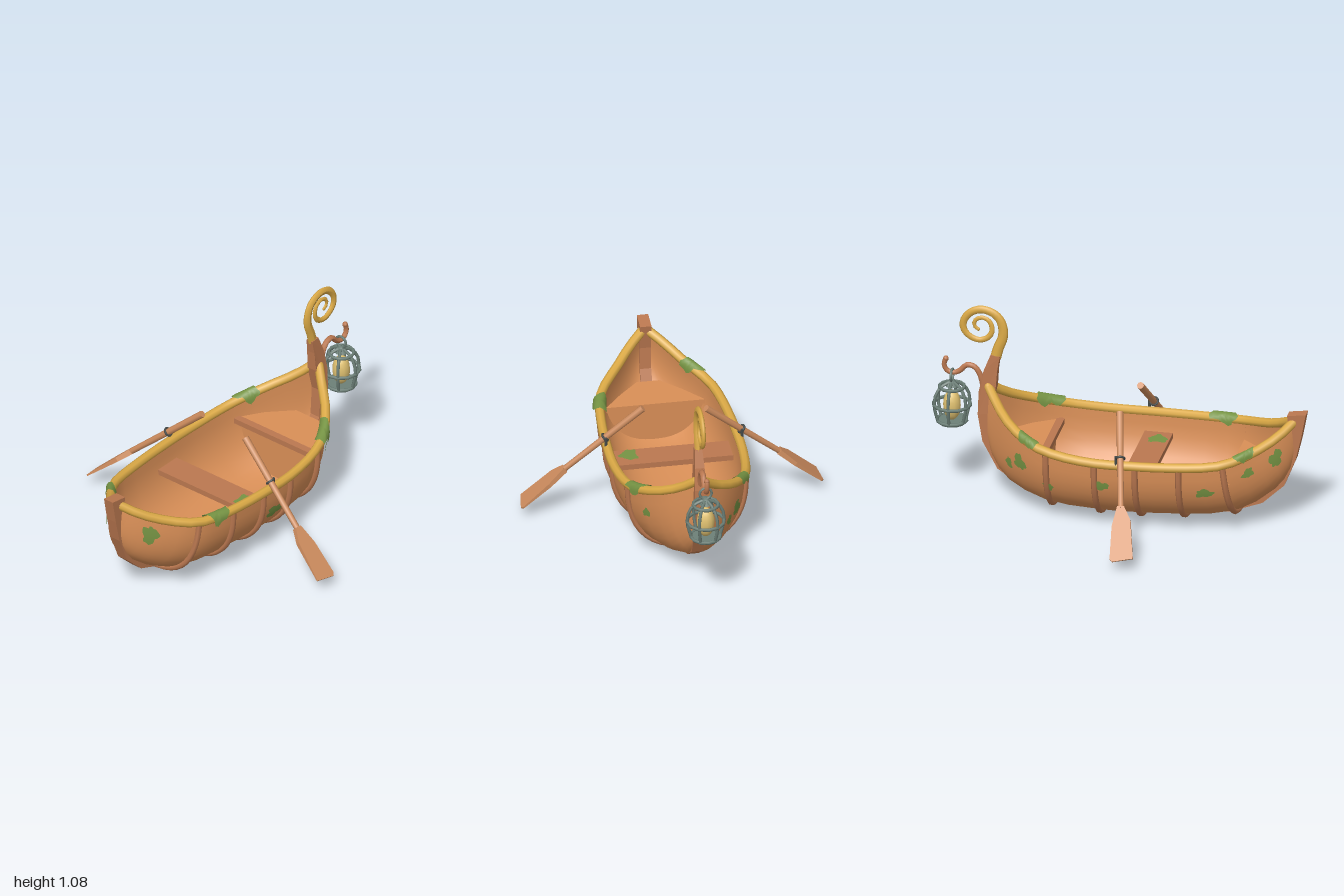
import * as THREE from 'three';

const V = (x, y, z = 0) => new THREE.Vector3(x, y, z);
const spline = pts => new THREE.CatmullRomCurve3(pts.map(p => V(...p)));
const shape = pts => new THREE.Shape(pts.map(p => new THREE.Vector2(...p)));
const mat = (name, color, side = THREE.FrontSide) => {
  const m = new THREE.MeshStandardMaterial({ color, side });
  m.name = name;
  return m;
};

// Hull stations: rail x, y, half width, then keel x, y
const stations = [
  [-0.93, 0.58, 0.015, -0.95, 0.45], [-0.87, 0.53, 0.09, -0.92, 0.32],
  [-0.77, 0.475, 0.175, -0.84, 0.2], [-0.61, 0.425, 0.287, -0.65, 0.08],
  [-0.4, 0.408, 0.328, -0.4, 0.045], [-0.1, 0.4, 0.345, -0.1, 0.03],
  [0.1, 0.4, 0.342, 0.1, 0.03], [0.36, 0.43, 0.297, 0.36, 0.045],
  [0.54, 0.5, 0.185, 0.57, 0.12], [0.63, 0.565, 0.085, 0.67, 0.24],
  [0.69, 0.63, 0.015, 0.715, 0.42],
];
const rail = spline(stations.map(s => [s[0], s[1], s[2]]));
const keelLine = spline(stations.map(s => [s[3], s[4], 0]));

// Point on the hull: u stern to bow, a from +1 (left rail) through 0 (keel) to -1 (right rail)
function hullPoint(u, a) {
  const s = rail.getPoint(u), k = keelLine.getPoint(u);
  const ang = Math.abs(a) * Math.PI / 2;
  const h = 1 - Math.pow(Math.max(Math.cos(ang), 0), 0.82);
  return V(k.x + (s.x - k.x) * h, k.y + (s.y - k.y) * h, Math.sign(a) * s.z * Math.pow(Math.sin(ang), 0.82));
}
// Outward normal of the hull
function hullNormal(u, a) {
  const e = 0.01;
  const du = hullPoint(u + e, a).sub(hullPoint(u - e, a));
  const da = hullPoint(u, a + e).sub(hullPoint(u, a - e));
  const n = da.cross(du).normalize();
  return n.multiplyScalar(n.z * a < 0 ? -1 : 1);
}

function surface(positions, index) {
  const g = new THREE.BufferGeometry();
  g.setAttribute('position', new THREE.Float32BufferAttribute(positions, 3));
  g.setIndex(index);
  g.computeVertexNormals();
  return g;
}

// Hull skin, narrowed and raised for the inner lining
function hullGeometry(narrow, raise, nu = 20, na = 20) {
  const p = [], idx = [];
  for (let i = 0; i <= nu; i++) for (let j = 0; j <= na; j++) {
    const v = hullPoint(i / nu, 1 - 2 * j / na);
    p.push(v.x, v.y + raise, v.z * narrow);
  }
  for (let i = 0; i < nu; i++) for (let j = 0; j < na; j++) {
    const a = i * (na + 1) + j, b = a + na + 1;
    idx.push(a, a + 1, b, b, a + 1, b + 1);
  }
  return surface(p, idx);
}

// Tube whose radius runs from r0 to r1, flattened in z by flat
function taperTube(curve, seg, r0, r1, flat = 1, sides = 8) {
  const g = new THREE.TubeGeometry(curve, seg, 1, sides);
  const p = g.attributes.position, v = V(0, 0);
  for (let i = 0; i < p.count; i++) {
    const t = Math.floor(i / (sides + 1)) / seg, c = curve.getPointAt(t);
    v.fromBufferAttribute(p, i).sub(c).multiplyScalar(r0 + (r1 - r0) * t);
    v.z *= flat;
    p.setXYZ(i, c.x + v.x, c.y + v.y, c.z + v.z);
  }
  g.computeVertexNormals();
  return g;
}

const extrude = (pts, depth) => new THREE.ExtrudeGeometry(shape(pts), { depth, bevelEnabled: false });
// Flat plate from an outline in x and z, with its top at y
const plate = (outline, y, t) => extrude(outline, t).rotateX(Math.PI / 2).translate(0, y, 0);

// Upright panel closing the hull section at u, up to height y
function bulkhead(u, x, y) {
  const pts = [];
  for (let j = 0; j <= 24; j++) {
    const p = hullPoint(u, 1 - j / 12);
    pts.push([-p.z * 0.94, Math.min(p.y + 0.02, y)]);
  }
  return extrude(pts, 0.015).rotateY(Math.PI / 2).translate(x, 0, 0);
}

// Moss patch with a ragged outline, draped over a surface given by at(dx, dy)
function mossGeometry(at, rx, ry, seed, n = 24, rings = 4) {
  const p = [...at(0, 0).toArray()], idx = [];
  for (let r = 1; r <= rings; r++) for (let k = 0; k < n; k++) {
    const a = k / n * Math.PI * 2;
    const q = r / rings * (0.84 + 0.13 * Math.sin(3 * a + seed * 1.7) + 0.1 * Math.sin(5 * a + seed * 3.3) + 0.07 * Math.sin(8 * a + seed));
    p.push(...at(Math.cos(a) * rx * q, Math.sin(a) * ry * q).toArray());
  }
  for (let k = 0; k < n; k++) {
    const k2 = (k + 1) % n;
    idx.push(0, 1 + k, 1 + k2);
    for (let r = 0; r < rings - 1; r++) {
      const a = 1 + r * n + k, b = 1 + r * n + k2;
      idx.push(a, a + n, b, b, a + n, b + n);
    }
  }
  return surface(p, idx);
}

export function createModel() {
  const root = new THREE.Group();
  const wood = mat('hull wood', 0xd98f57, THREE.DoubleSide), trim = mat('trim wood', 0xbb7850);
  const oarWood = mat('oar wood', 0xcd8c5e), gold = mat('golden rail', 0xdcaa46);
  const moss = mat('moss', 0x769444, THREE.DoubleSide), metal = mat('lantern metal', 0x6d8078);
  const iron = mat('dark iron', 0x454b4a), glow = mat('candle glow', 0xdfc070);
  const add = (name, geo, material, parent = root) => {
    const m = new THREE.Mesh(geo, material);
    m.name = name;
    parent.add(m);
  };

  add('hull', hullGeometry(1, 0), wood);
  add('lining', hullGeometry(0.955, 0.016), wood);

  // Keel with stern post and bow stem, narrowing towards the stem top
  const outer = [[-1, 0.635], [-0.975, 0.5], [-0.945, 0.37], [-0.885, 0.22], [-0.77, 0.11], [-0.6, 0.045], [-0.2, 0.005], [0, 0], [0.3, 0.02],
    [0.5, 0.075], [0.64, 0.17], [0.72, 0.32], [0.745, 0.47], [0.74, 0.6], [0.715, 0.72], [0.68, 0.81]];
  const inner = [[0.63, 0.805], [0.642, 0.73], [0.65, 0.62], [0.685, 0.48], [0.675, 0.32], [0.6, 0.17], [0.48, 0.09], [0.3, 0.045], [0, 0.032],
    [-0.2, 0.035], [-0.6, 0.075], [-0.74, 0.13], [-0.85, 0.23], [-0.91, 0.36], [-0.92, 0.48], [-0.9, 0.62]];
  const keel = extrude([...outer, ...inner], 0.06).translate(0, 0, -0.03);
  const kp = keel.attributes.position;
  for (let i = 0; i < kp.count; i++) if (kp.getY(i) > 0.65) kp.setZ(i, kp.getZ(i) * (1 - (kp.getY(i) - 0.65) * 2.2));
  keel.computeVertexNormals();
  add('keel', keel, trim);

  // Ribs around the outside
  for (const u of [0.3, 0.405, 0.48, 0.58, 0.685]) {
    const pts = [];
    for (let j = 0; j <= 20; j++) {
      const p = hullPoint(u, 0.99 - 1.98 * j / 20);
      pts.push(V(p.x, p.y - 0.004, p.z * 1.012));
    }
    add('rib', new THREE.TubeGeometry(new THREE.CatmullRomCurve3(pts), 24, 0.017, 6), trim);
  }

  // Rails and curled bow ornament
  for (const s of [1, -1]) {
    const pts = [];
    for (let i = 0; i <= 20; i++) pts.push(rail.getPoint(i / 20).multiply(V(1, 1, s)));
    add('rail', new THREE.TubeGeometry(new THREE.CatmullRomCurve3(pts), 24, 0.025, 8), gold);
    for (const end of [0, 1]) add('railEnd', new THREE.SphereGeometry(0.025, 8, 6).translate(...rail.getPoint(end).multiply(V(1, 1, s)).toArray()), gold);
  }
  const curl = spline([[0.655, 0.795], [0.64, 0.85], [0.618, 0.91], [0.617, 0.965], [0.638, 1.018], [0.68, 1.05], [0.735, 1.06], [0.79, 1.038], [0.825, 0.99],
    [0.825, 0.94], [0.79, 0.9], [0.74, 0.885], [0.695, 0.905], [0.674, 0.945], [0.688, 0.995], [0.725, 1.014], [0.762, 0.998], [0.77, 0.965], [0.748, 0.946]]);
  add('bowCurl', taperTube(curl, 44, 0.029, 0.01, 0.62), gold);
  add('curlTip', new THREE.SphereGeometry(0.01, 8, 6).scale(1, 1, 0.62).translate(0.748, 0.946, 0), gold);

  // Bench, and end decks with the panels below them
  add('bench', new THREE.BoxGeometry(0.15, 0.03, 0.63).translate(-0.145, 0.285, 0), trim);
  const mirrored = half => [...half, ...half.map(([x, z]) => [x, -z]).reverse()];
  add('sternDeck', plate(mirrored([[-0.61, 0.262], [-0.73, 0.165], [-0.84, 0.06]]), 0.325, 0.025), wood);
  add('sternBulkhead', bulkhead(0.3, -0.645, 0.31), wood);
  add('bowDeck', plate(mirrored([[0.38, 0.27], [0.5, 0.195], [0.62, 0.08]]), 0.345, 0.025), wood);
  add('bowBulkhead', bulkhead(0.71, 0.385, 0.33), wood);
  add('bowDeckEdge', new THREE.BoxGeometry(0.04, 0.03, 0.55).translate(0.367, 0.335, 0), trim);

  // Oars with blades thinning to the tip, and their locks
  const bladeOutline = [[-0.06, 0.01], [0.05, 0], [0.062, 0.015], [0.048, 0.2], [0.018, 0.31], [-0.018, 0.31], [-0.05, 0.23]];
  for (const [top, tip] of [[V(-0.08, 0.63, 0.16), V(-0.177, 0.065, 0.79)], [V(-0.04, 0.62, -0.165), V(-0.183, 0.065, -0.795)]]) {
    const oar = new THREE.Group();
    oar.name = 'oar';
    const up = top.clone().sub(tip), len = up.length();
    up.normalize();
    const side = V(1, 0, 0).addScaledVector(up, -up.x).normalize();
    oar.setRotationFromMatrix(new THREE.Matrix4().makeBasis(side, up, side.clone().cross(up)));
    oar.position.copy(tip);
    add('shaft', new THREE.CylinderGeometry(0.019, 0.016, len - 0.3, 8).translate(0, (len + 0.3) / 2, 0), oarWood, oar);
    const blade = extrude(bladeOutline, 0.03).translate(0, 0, -0.015), bp = blade.attributes.position;
    for (let i = 0; i < bp.count; i++) bp.setZ(i, bp.getZ(i) * (0.25 + 0.75 * bp.getY(i) / 0.31));
    blade.computeVertexNormals();
    add('blade', blade, oarWood, oar);
    add('oarlockRing', new THREE.TorusGeometry(0.022, 0.006, 6, 12).rotateX(Math.PI / 2).translate(0, len * 0.69, 0), iron, oar);
    root.add(oar);
    const at = tip.clone().lerp(top, 0.69);
    add('oarlockPin', new THREE.CylinderGeometry(0.008, 0.008, 0.07, 6).translate(at.x + 0.024, at.y - 0.025, at.z), iron);
  }

  // Lantern arm
  const arm = spline([[0.72, 0.62], [0.74, 0.69], [0.77, 0.73], [0.81, 0.735], [0.845, 0.7], [0.88, 0.685], [0.915, 0.695], [0.93, 0.73], [0.92, 0.762]]);
  add('lanternArm', taperTube(arm, 20, 0.016, 0.013), trim);
  add('armTip', new THREE.SphereGeometry(0.015, 8, 6).translate(0.92, 0.762, 0), trim);

  // Lantern: ring, cap, cage, base and candle
  const lantern = new THREE.Group();
  lantern.name = 'lantern';
  lantern.position.x = 0.888;
  root.add(lantern);
  add('hangingRing', new THREE.TorusGeometry(0.032, 0.007, 6, 12).rotateY(Math.PI / 2).translate(0, 0.67, 0), metal, lantern);
  add('cap', new THREE.CylinderGeometry(0.015, 0.035, 0.035, 8).translate(0, 0.625, 0), metal, lantern);
  for (const [r, y] of [[0.066, 0.605], [0.098, 0.505], [0.078, 0.415]])
    add('cageRing', new THREE.TorusGeometry(r, 0.009, 6, 12).rotateX(Math.PI / 2).translate(0, y, 0), metal, lantern);
  add('base', new THREE.CylinderGeometry(0.078, 0.072, 0.018, 12).translate(0, 0.408, 0), metal, lantern);
  const bar = spline([[0.015, 0.63, 0], [0.06, 0.607, 0], [0.09, 0.56, 0], [0.096, 0.5, 0], [0.075, 0.41, 0]]);
  for (let i = 0; i < 6; i++) add('cageBar', new THREE.TubeGeometry(bar, 7, 0.009, 5).rotateY((i + 0.5) * Math.PI / 3), metal, lantern);
  add('candle', new THREE.SphereGeometry(0.047, 12, 10).scale(1, 1.8, 1).translate(0, 0.5, 0), glow, lantern);

  // Moss on the hull sides: u, a, half length, half height
  [[0.165, 0.8, 0.055, 0.06], [0.52, 0.77, 0.065, 0.042], [0.755, 0.83, 0.035, 0.028], [0.755, -0.8, 0.05, 0.05], [0.79, -0.69, 0.03, 0.035],
    [0.68, -0.7, 0.035, 0.025], [0.56, -0.83, 0.045, 0.03], [0.35, -0.78, 0.055, 0.03], [0.24, -0.86, 0.04, 0.03], [0.14, -0.8, 0.05, 0.05]].forEach(([u, a, rx, ry], i) => {
    const sx = hullPoint(u + 0.01, a).distanceTo(hullPoint(u - 0.01, a)) / 0.02;
    const sy = hullPoint(u, a + 0.02).distanceTo(hullPoint(u, a - 0.02)) / 0.04;
    const n = hullNormal(u, a).multiplyScalar(0.009);
    add('hullMoss', mossGeometry((dx, dy) => hullPoint(u + dx / sx, a + dy / sy).add(n), rx, ry, i), moss);
  });

  // Moss draped over the rails and hanging down: u, side, half length
  [[0.355, 1, 0.085], [0.73, 1, 0.095], [0.735, -1, 0.075], [0.235, -1, 0.07]].forEach(([u, s, r], i) => {
    const sx = rail.getPoint(u + 0.01).distanceTo(rail.getPoint(u - 0.01)) / 0.02;
    const at = (dx, dy) => {
      const c = rail.getPoint(u + dx / sx), ang = THREE.MathUtils.clamp(dy / 0.033, -Math.PI / 2, Math.PI / 2);
      const hang = Math.abs(dy - ang * 0.033);
      return V(c.x, c.y + 0.034 * Math.cos(ang) - hang, s * (c.z + 0.036 * Math.sin(ang)));
    };
    add('railMoss', mossGeometry(at, r, 0.085, i + 5), moss);
  });
  add('benchMoss', mossGeometry((dx, dz) => V(-0.16 + dx, 0.305, 0.22 + dz), 0.06, 0.055, 2), moss);

  return root;
}
